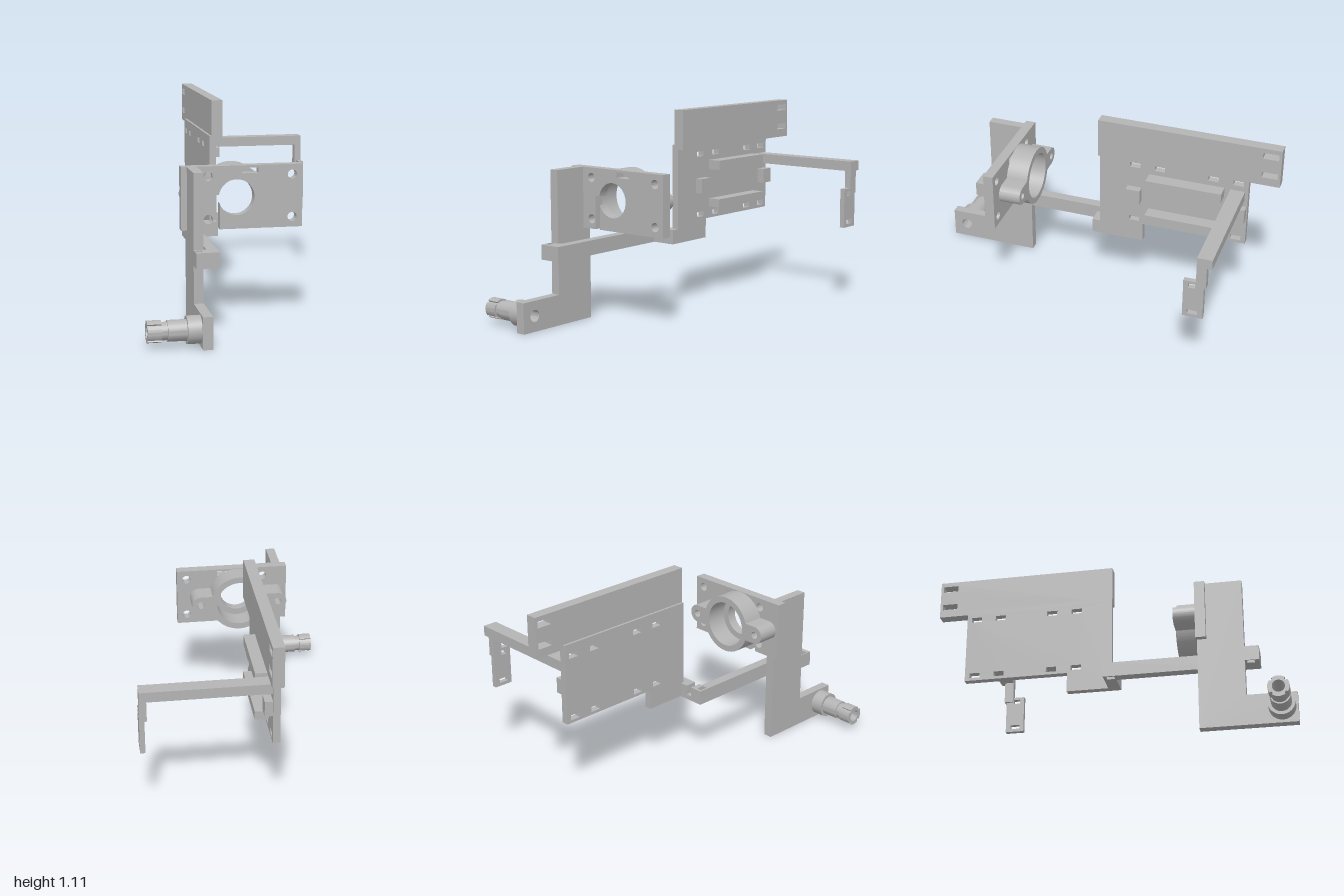
import * as THREE from 'three';
import { toCreasedNormals } from 'three/addons/utils/BufferGeometryUtils.js';

const grey = new THREE.MeshStandardMaterial({ color: 0xb4b4b4 });
grey.name = 'plain grey';

const poly = (pts) => new THREE.Shape(pts.map(([x, y]) => new THREE.Vector2(x, y)));
const rectPath = (x0, x1, y0, y1) => {
  const p = new THREE.Path();
  p.moveTo(x0, y0).lineTo(x0, y1).lineTo(x1, y1).lineTo(x1, y0).closePath();
  return p;
};
const circlePath = (x, y, r) => {
  const p = new THREE.Path();
  p.absarc(x, y, r, 0, Math.PI * 2, true);
  return p;
};
const extrude = (shape, depth) => new THREE.ExtrudeGeometry(shape, { depth, bevelEnabled: false, curveSegments: 32 });

export function createModel() {
  const model = new THREE.Group();
  const add = (name, geometry, parent = model) => {
    const mesh = new THREE.Mesh(geometry, grey);
    mesh.name = name;
    parent.add(mesh);
    return mesh;
  };
  const box = (name, x0, x1, y0, y1, z0, z1) =>
    add(name, new THREE.BoxGeometry(x1 - x0, y1 - y0, z1 - z0)
      .translate((x0 + x1) / 2, (y0 + y1) / 2, (z0 + z1) / 2));
  // Outline in (z, y), thickened along x
  const sidePlate = (name, x0, x1, pts, holes = []) => {
    const s = poly(pts.map(([z, y]) => [-z, y]));
    s.holes.push(...holes);
    add(name, toCreasedNormals(extrude(s, x1 - x0).rotateY(Math.PI / 2).translate(x0, 0, 0), 0.5));
  };

  // Upright L-shaped bracket
  sidePlate('sideBracket', -0.33, -0.28,
    [[1, 0], [0.495, 0], [0.495, 0.828], [0.74, 0.828], [0.74, 0.165], [1, 0.165]],
    [circlePath(-0.92, 0.085, 0.032)]);

  // Front plate: the bottom slot runs up into the round opening
  const cx = -0.072, cy = 0.664, r = 0.093;
  const front = poly([[-0.36, 0.5], [-0.193, 0.5], [-0.193, 0.68]]);
  const a0 = Math.PI - Math.asin(0.016 / r), a1 = Math.PI + Math.acos(0.088 / r);
  front.absarc(cx, cy, r, a0, a1, true);
  front.lineTo(-0.16, 0.5).lineTo(0.274, 0.5).lineTo(0.274, 0.828).lineTo(-0.36, 0.828);
  for (const x of [-0.22, 0.22]) for (const y of [0.553, 0.775]) front.holes.push(circlePath(x, y, 0.024));
  front.holes.push(rectPath(-0.042, 0.042, 0.787, 0.815));
  add('frontPlate', toCreasedNormals(extrude(front, 0.055).translate(0, 0, 0.49), 0.5));

  // Ring with two ears behind the front plate
  const R = 0.162, ear = 0.05, ex = 0.222, j = Math.asin(ear / R);
  const ring = new THREE.Shape();
  ring.absarc(0, 0, R, j, Math.PI - j, false);
  ring.absarc(-ex, 0, ear, Math.PI / 2, Math.PI * 1.5, false);
  ring.absarc(0, 0, R, Math.PI + j, Math.PI * 2 - j, false);
  ring.absarc(ex, 0, ear, -Math.PI / 2, Math.PI / 2, false);
  ring.holes.push(circlePath(0, 0, 0.128), circlePath(-ex, 0, 0.021), circlePath(ex, 0, 0.021));
  add('earedRing', toCreasedNormals(extrude(ring, 0.12).translate(cx, cy, 0.37), 0.5));

  // Long arm with a foot at the front and a pierced corner at the back
  const arm = poly([[-0.33, -0.815], [-0.21, -0.815], [-0.21, -0.045], [-0.193, -0.045],
    [-0.193, 0.02], [-0.265, 0.02], [-0.265, -0.73], [-0.33, -0.73]]);
  arm.holes.push(rectPath(-0.255, -0.225, -0.04, 0.005), rectPath(-0.325, -0.295, -0.79, -0.75));
  add('longArm', extrude(arm, 0.08).rotateX(-Math.PI / 2).translate(0, 0.36, 0));
  box('linkFloor', -0.193, -0.16, 0.36, 0.387, -0.02, 0.045);
  box('linkBlock', -0.16, -0.115, 0.36, 0.44, -0.02, 0.045);
  box('linkEnd', -0.115, -0.075, 0.36, 0.44, 0, 0.045);

  // Rear plate with rows of slots
  const slots = [];
  for (const z of [-0.2, -0.34, -0.637, -0.775])
    for (const y of [0.5, 0.844]) slots.push(rectPath(-z - 0.029, -z + 0.029, y - 0.014, y + 0.014));
  sidePlate('rearPlate', -0.113, -0.075,
    [[0, 0.36], [-0.25, 0.36], [-0.25, 0.47], [-0.83, 0.47], [-0.83, 0.886], [0, 0.886]], slots);
  box('rearPlateLip', -0.113, -0.1, 0.886, 0.91, -0.83, 0);

  // Upper rail
  sidePlate('upperRail', -0.1, -0.04, [[0, 0.886], [-1, 0.886], [-1, 1.105], [0, 1.105]],
    [rectPath(0.9, 0.985, 1.045, 1.08), rectPath(0.9, 0.985, 0.932, 0.965)]);

  // Bars and blocks on the rear plate
  for (const [y0, y1] of [[0.75, 0.803], [0.535, 0.582]]) box('ledgeBar', -0.075, -0.002, y0, y1, -0.7, -0.28);
  for (const [z0, z1] of [[-0.24, -0.16], [-0.825, -0.75]]) box('stopBlock', -0.075, -0.033, 0.625, 0.708, z0, z1);

  // Sideways rod with a hanging clip
  box('rod', -0.075, 0.588, 0.745, 0.8, -0.812, -0.732);
  box('rodDrop', 0.55, 0.588, 0.62, 0.745, -0.785, -0.732);
  sidePlate('hangingClip', 0.562, 0.589, [[-0.667, 0.43], [-0.775, 0.43], [-0.775, 0.65], [-0.667, 0.65]],
    [rectPath(0.692, 0.747, 0.448, 0.472), rectPath(0.692, 0.73, 0.61, 0.635)]);

  // Hollow stepped connector
  const connector = new THREE.Group();
  connector.name = 'connector';
  connector.position.set(-0.33, 0.085, 0.92);
  connector.rotation.z = Math.PI / 2;
  model.add(connector);
  const profile = [[0.032, 0], [0.07, 0], [0.07, 0.07], [0.053, 0.07], [0.053, 0.165], [0.045, 0.165],
    [0.045, 0.195], [0.032, 0.195], [0.032, 0]].map(([x, y]) => new THREE.Vector2(x, y));
  add('connectorBody', toCreasedNormals(new THREE.LatheGeometry(profile, 40), 0.5), connector);
  // Collar with notched rim
  const collar = new THREE.Shape();
  const n = 4;
  for (let i = 0; i < n; i++) {
    const a = (i / n) * Math.PI * 2 + Math.PI / 4, g = 0.13, step = Math.PI * 2 / n;
    collar.absarc(0, 0, 0.055, a + g, a + step - g, false);
    collar.absarc(0, 0, 0.046, a + step - g, a + step + g, false);
  }
  collar.holes.push(circlePath(0, 0, 0.032));
  add('connectorCollar', toCreasedNormals(extrude(collar, 0.07).rotateX(-Math.PI / 2).translate(0, 0.195, 0), 0.5), connector);

  return model;
}
